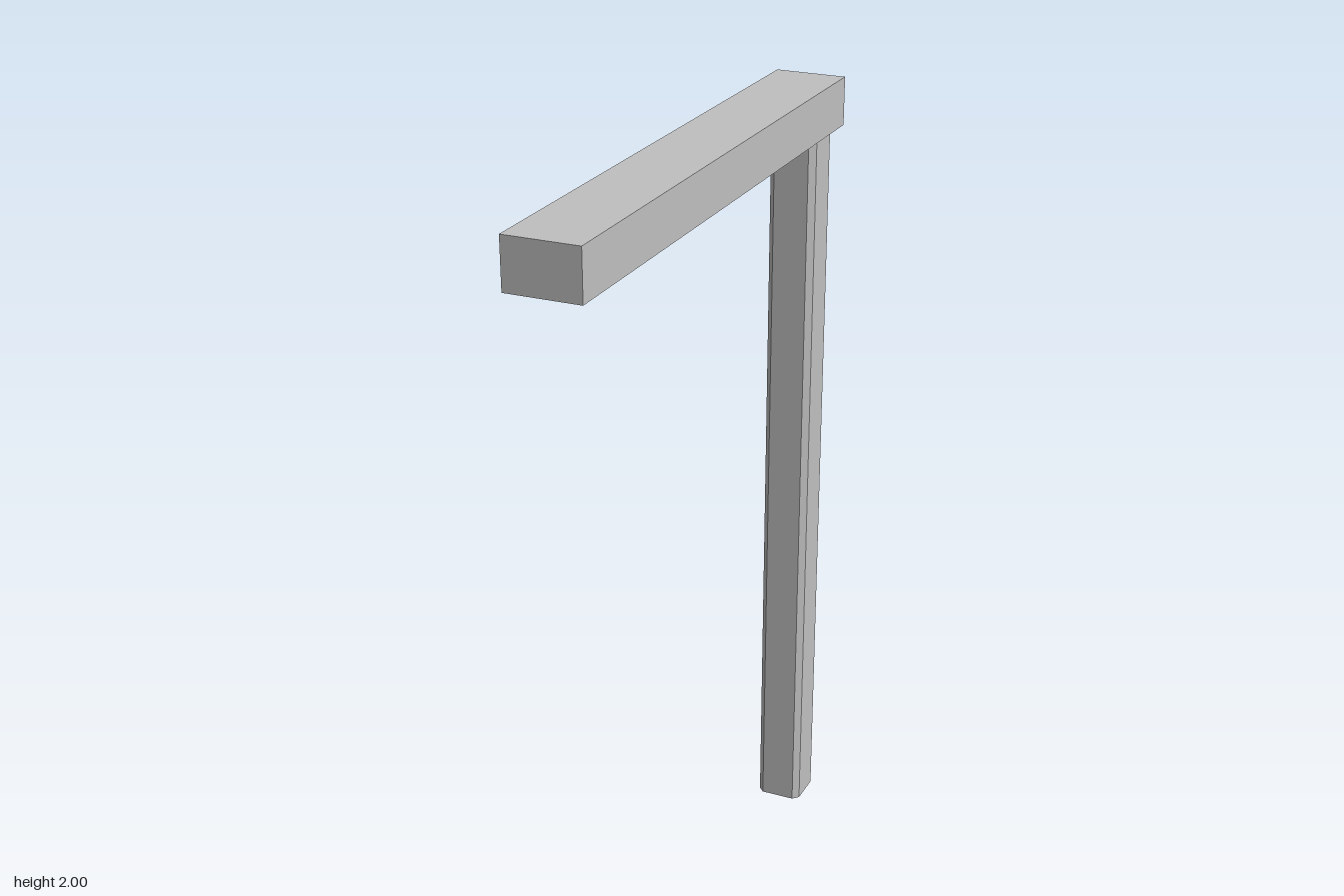
import * as THREE from 'three';

const BEAM = { width: 0.175, height: 0.117, length: 1.394 };
const POST = { half: 0.059, chamfer: 0.015 };

export function createModel() {
  const group = new THREE.Group();
  const grey = new THREE.MeshStandardMaterial({ color: 0xc0c0c0 });
  grey.name = 'plain grey';

  // Horizontal beam along the top
  const beam = new THREE.Mesh(new THREE.BoxGeometry(BEAM.width, BEAM.height, BEAM.length), grey);
  beam.name = 'beam';
  beam.position.y = 2 - BEAM.height / 2;
  group.add(beam);

  // Square post with chamfered corners, flush with the back end of the beam
  const h = POST.half, i = h - POST.chamfer;
  const section = new THREE.Shape([
    [h, -i], [h, i], [i, h], [-i, h], [-h, i], [-h, -i], [-i, -h], [i, -h],
  ].map(([x, y]) => new THREE.Vector2(x, y)));
  const postGeometry = new THREE.ExtrudeGeometry(section, {
    depth: 2 - BEAM.height, bevelEnabled: false,
  });
  postGeometry.rotateX(-Math.PI / 2);
  const post = new THREE.Mesh(postGeometry, grey);
  post.name = 'post';
  post.position.z = -BEAM.length / 2 + h;
  group.add(post);

  return group;
}
